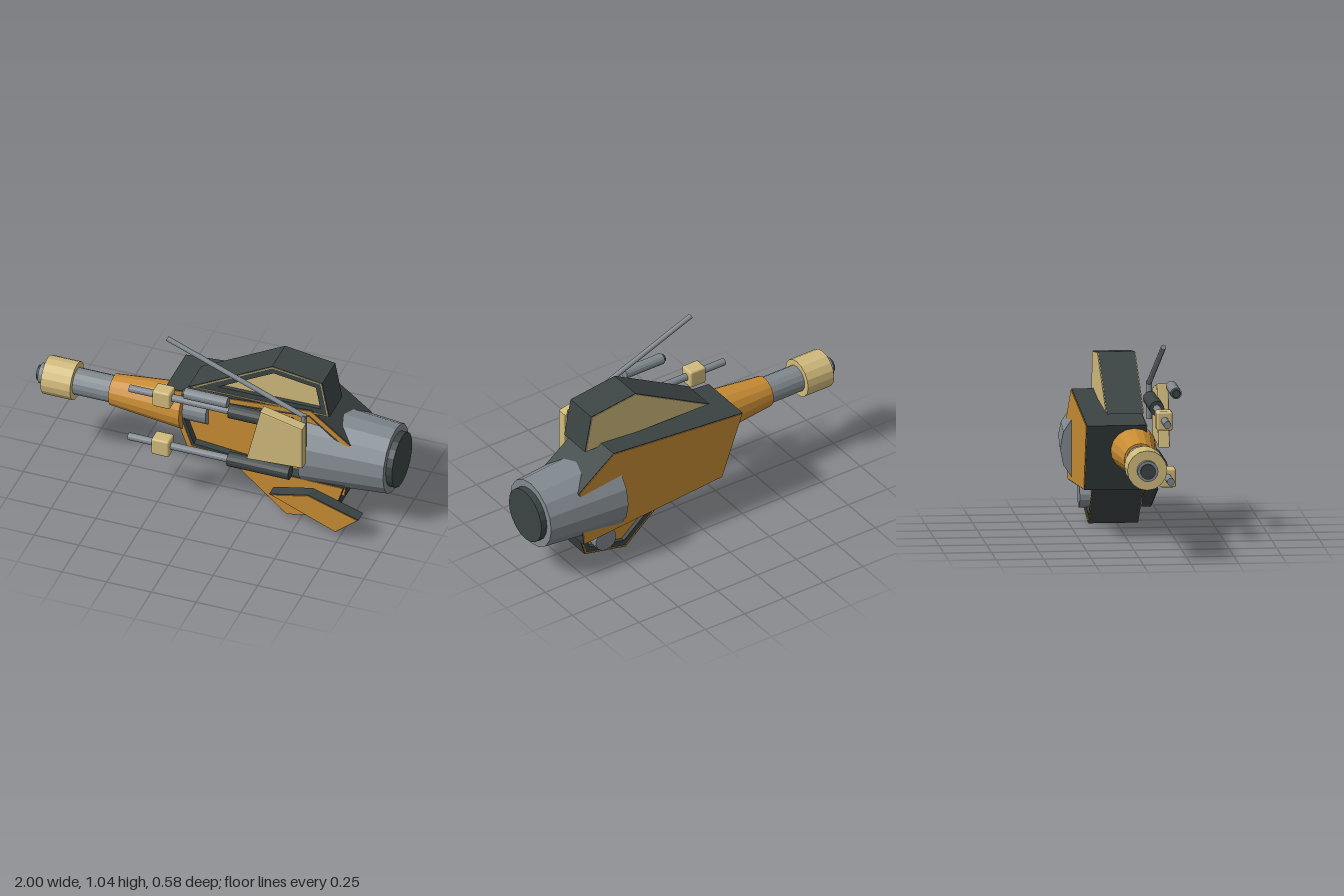
import * as THREE from 'three';
import { RoundedBoxGeometry } from 'three/addons/geometries/RoundedBoxGeometry.js';

const mat = (name, color) => Object.assign(new THREE.MeshStandardMaterial({ color }), { name });

export function createModel() {
  const root = new THREE.Group();
  const orange = mat('orange', 0xc88c34), beige = mat('beige', 0xd0ba7c);
  const grey = mat('grey', 0x80888e), dark = mat('dark', 0x3b4343);

  const add = (name, geo, material, parent = root) => {
    const m = new THREE.Mesh(geo, material);
    m.name = name;
    parent.add(m);
    return m;
  };

  // Faceted rod between two points, with a radius at each end
  const rod = (name, a, b, ra, rb, material, sides = 14) => {
    const p = new THREE.Vector3(...a), q = new THREE.Vector3(...b);
    const d = q.clone().sub(p);
    const geo = new THREE.CylinderGeometry(rb, ra, d.length(), sides).toNonIndexed();
    geo.computeVertexNormals();
    const m = add(name, geo, material);
    m.position.copy(p).add(q).multiplyScalar(0.5);
    m.quaternion.setFromUnitVectors(new THREE.Vector3(0, 1, 0), d.normalize());
    return m;
  };

  // Shrinks a convex counter-clockwise outline by d
  const shrink = (pts, d) => pts.map((p, i) => {
    const n = pts.length, a = pts[(i + n - 1) % n], b = pts[(i + 1) % n];
    const u = [p[0] - a[0], p[1] - a[1]], v = [b[0] - p[0], b[1] - p[1]];
    const lu = Math.hypot(...u), lv = Math.hypot(...v);
    const n1 = [-u[1] / lu, u[0] / lu], n2 = [-v[1] / lv, v[0] / lv];
    const k = d / (1 + n1[0] * n2[0] + n1[1] * n2[1]);
    return [p[0] + (n1[0] + n2[0]) * k, p[1] + (n1[1] + n2[1]) * k];
  });

  const layer = (name, pts, hole, za, zb, material, parent) => {
    const shape = new THREE.Shape(pts.map(p => new THREE.Vector2(...p)));
    if (hole) shape.holes.push(new THREE.Path(hole.map(p => new THREE.Vector2(...p))));
    const geo = new THREE.ExtrudeGeometry(shape, { depth: Math.abs(zb - za), bevelEnabled: false });
    geo.translate(0, 0, Math.min(za, zb));
    return add(name, geo, material, parent);
  };

  // Dark slab: coloured sheet on one face, framed recessed panel on the other (side = +1 or -1 in z)
  const slab = (name, pts, zBack, zFront, color, side, rim, band, depth) => {
    const g = new THREE.Group();
    g.name = name;
    root.add(g);
    const face = side > 0 ? zFront : zBack, plain = side > 0 ? zBack : zFront;
    const t = 0.004 * side, floor = face - depth * side;
    const inner = shrink(pts, rim), panel = shrink(pts, rim + band);
    layer('core', pts, null, plain + t, floor, dark, g);
    layer('frame', pts, panel, floor, face - t, dark, g);
    layer('rim', shrink(pts, 0.004), inner, face - t, face, color, g);
    layer('insetPanel', panel, null, floor, floor + t, color, g);
    layer('sheet', shrink(pts, 0.004), null, plain, plain + t, color, g);
  };

  // Main body and fins
  slab('body', [[-0.14, 0.27], [0.74, 0.19], [0.77, 0.53], [0.55, 0.7], [-0.27, 0.63]],
    -0.228, 0.093, orange, 1, 0.03, 0.014, 0.05);
  slab('upperFin', [[-0.14, 0.67], [0.65, 0.68], [0.61, 0.89], [0.33, 0.928]],
    -0.11, 0.09, beige, 1, 0.01, 0.032, 0.03);
  slab('lowerFin', [[0.12, 0.265], [0.42, 0.005], [0.68, 0.06], [0.74, 0.26]],
    -0.152, 0.115, orange, -1, 0.01, 0.03, 0.03);
  slab('outerLowerFin', [[0.36, 0.19], [0.73, 0.04], [0.86, 0.15], [0.58, 0.24]],
    0.14, 0.215, orange, -1, 0.01, 0.022, 0.02);
  rod('finPivot', [0.57, 0.13, -0.185], [0.57, 0.13, 0.145], 0.065, 0.065, grey);

  // Rear engine
  rod('engine', [0.5, 0.39, -0.063], [0.965, 0.39, -0.063], 0.227, 0.19, grey, 16);
  rod('engineCap', [0.96, 0.39, -0.063], [1, 0.39, -0.063], 0.15, 0.15, dark, 20);

  // Barrel, tip to body
  [['muzzleTip', -1, -0.98, 0.04, 0.04, dark],
    ['muzzleCollar', -0.985, -0.945, 0.055, 0.055, grey],
    ['muzzleRing', -0.95, -0.785, 0.105, 0.105, beige],
    ['barrel', -0.79, -0.04, 0.073, 0.073, grey],
    ['barrelSleeve', -0.58, -0.17, 0.085, 0.125, orange],
  ].forEach(([name, x0, x1, r0, r1, m]) => rod(name, [x0, 0.497, 0.025], [x1, 0.497, 0.025], r0, r1, m, 16));

  // Twin side guns
  for (const [name, y, z] of [['upperGun', 0.653, 0.183], ['lowerGun', 0.352, 0.2]]) {
    rod(name + 'Barrel', [-0.43, y, z], [0.14, y, z], 0.02, 0.02, grey);
    rod(name + 'Housing', [0.13, y, z], [0.475, y, z], 0.039, 0.039, dark);
    add(name + 'Block', new RoundedBoxGeometry(0.1, 0.1, 0.085, 2, 0.012), beige).position.set(-0.24, y - 0.002, z);
  }

  // Side shield plate with softened edges
  const plate = new THREE.Shape(shrink([[0.25, 0.425], [0.565, 0.445], [0.565, 0.7], [0.33, 0.755]], 0.008)
    .map(p => new THREE.Vector2(...p)));
  const plateGeo = new THREE.ExtrudeGeometry(plate,
    { depth: 0.046, bevelThickness: 0.008, bevelSize: 0.008, bevelSegments: 2 });
  add('shieldPlate', plateGeo.translate(0, 0, 0.21), beige);

  // Antenna, its post and the sighting tube
  rod('antenna', [-0.22, 1.033, 0.183], [0.555, 0.722, 0.183], 0.014, 0.014, grey, 12);
  rod('antennaPost', [0.545, 0.535, 0.183], [0.545, 0.735, 0.183], 0.016, 0.016, grey, 12);
  rod('sightTube', [-0.09, 0.766, 0.262], [0.15, 0.766, 0.262], 0.03, 0.03, grey);
  rod('sightLens', [-0.103, 0.766, 0.262], [-0.088, 0.766, 0.262], 0.02, 0.024, dark);

  return root;
}
